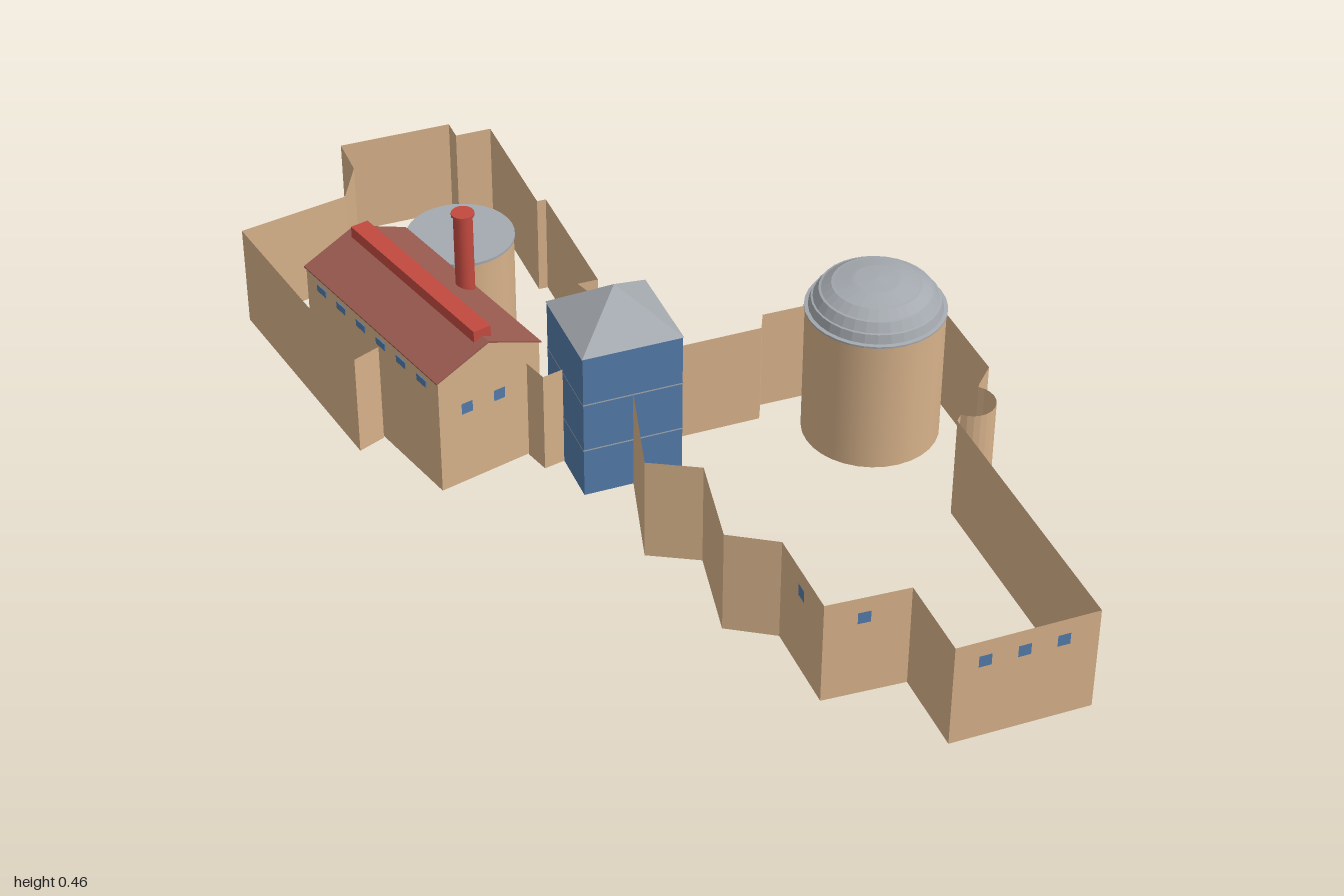
import * as THREE from 'three';

const mat = (name, color) => {
  const m = new THREE.MeshStandardMaterial({ color, side: THREE.DoubleSide });
  m.name = name;
  return m;
};

export function createModel() {
  const tan = mat('sandstone', 0xd7b28a);
  const blue = mat('blue glass', 0x547aa9);
  const grey = mat('grey roofing', 0xa5aab0);
  const roofRed = mat('brown red tiles', 0x995a50);
  const red = mat('bright red', 0xc24a3f);

  const model = new THREE.Group();
  const add = (name, geo, material, x = 0, y = 0, z = 0, parent = model) => {
    const m = new THREE.Mesh(geo, material);
    m.name = name;
    m.position.set(x, y, z);
    parent.add(m);
    return m;
  };
  const WALL = 0.23;

  // Thin upright wall along a plan path of [x, z] points
  const wall = (name, path) => {
    const pos = [];
    for (let i = 0; i < path.length - 1; i++) {
      const [ax, az] = path[i], [bx, bz] = path[i + 1];
      pos.push(ax, 0, az, bx, 0, bz, bx, WALL, bz, ax, 0, az, bx, WALL, bz, ax, WALL, az);
    }
    const g = new THREE.BufferGeometry();
    g.setAttribute('position', new THREE.Float32BufferAttribute(pos, 3));
    g.computeVertexNormals();
    add(name, g, tan);
  };

  // Row of flat window panes just outside the line a-b, at the given fractions
  const windows = (a, b, fractions) => {
    const dx = b[0] - a[0], dz = b[1] - a[1], len = Math.hypot(dx, dz), out = 0.002;
    for (const t of fractions) {
      const w = add('window', new THREE.PlaneGeometry(0.026, 0.026), blue,
        a[0] + dx * t - (dz / len) * out, 0.184, a[1] + dz * t + (dx / len) * out);
      w.rotation.y = -Math.atan2(dz, dx);
    }
  };

  // Front court: saw-toothed west side, straight front and east sides, round turret, dome corner
  const turret = [];
  for (let i = 0; i <= 12; i++) {
    const a = THREE.MathUtils.degToRad(140 - (188 * i) / 12);
    turret.push([0.55 + 0.05 * Math.cos(a), 0.346 + 0.05 * Math.sin(a)]);
  }
  wall('frontCourtWall', [
    [-0.06, 0.08], [-0.12, 0.3], [-0.02, 0.355], [-0.06, 0.556], [0.033, 0.615],
    [0.033, 0.81], [0.205, 0.82], [0.205, 1], [0.497, 1], [0.497, 0.394],
    ...turret, [0.59, 0.3], [0.632, 0.257], [0.632, -0.067], [0.28, -0.072], [0.26, -0.03], [0.045, -0.03],
  ]);

  // Rear court, from the tower round to the west side of the hall
  const towerEnd = [0.05, -0.05], bend = [-0.035, -0.311];
  wall('rearCourtWall', [
    towerEnd, bend, [0.01, -0.311], [0.01, -0.635], [-0.01, -0.635], [-0.01, -0.949],
    [-0.09, -0.949], [-0.09, -1], [-0.34, -1], [-0.34, -0.9], [-0.39, -0.8], [-0.632, -0.75],
    [-0.543, -0.22], [-0.485, -0.245],
  ]);
  // Short link between hall and tower
  wall('linkWall', [[-0.225, -0.085], [-0.21, -0.03], [-0.165, -0.04]]);

  windows([0.205, 1], [0.497, 1], [0.21, 0.48, 0.75]);
  windows([0.497, 1], [0.497, 0], [0.067, 0.15, 0.228, 0.306, 0.383, 0.461, 0.536]);
  windows([0.632, 1], [0.632, 0], [0.818, 0.906, 0.992]);
  windows([0.632, -0.067], [0.28, -0.072], [0.14, 0.38, 0.62, 0.86]);
  windows([0.033, 0.81], [0.205, 0.82], [0.46]);
  windows([0.033, 0.615], [0.033, 0.81], [0.5]);
  windows(towerEnd, bend, [0.13, 0.456, 0.743]);
  windows([0.01, 0], [0.01, -1], [0.367, 0.437, 0.512, 0.582]);
  windows([-0.01, 0], [-0.01, -1], [0.705, 0.79, 0.877]);
  windows([-0.09, -1], [-0.34, -1], [0.35, 0.68]);
  windows([-0.427, -0.033], [-0.195, -0.094], [0.27, 0.59]);

  // Blue tower with floor bands and a pyramid roof
  const tower = new THREE.Group();
  tower.name = 'tower';
  tower.position.set(-0.06, 0, -0.025);
  model.add(tower);
  const square = (r, h) => new THREE.CylinderGeometry(r * Math.SQRT2, r * Math.SQRT2, h, 4, 1, true)
    .rotateY(Math.PI / 4).toNonIndexed();
  const flat = (g) => { g.computeVertexNormals(); return g; };
  add('towerWalls', flat(square(0.105, 0.336)), blue, 0, 0.168, 0, tower);
  for (const y of [0.112, 0.224]) add('floorBand', flat(square(0.106, 0.003)), grey, 0, y, 0, tower);
  const pyramid = new THREE.ConeGeometry(0.107 * Math.SQRT2, 0.085, 4).rotateY(Math.PI / 4).toNonIndexed();
  add('towerRoof', flat(pyramid), grey, 0, 0.3785, 0, tower);

  // Domed drum
  add('domeDrum', new THREE.CylinderGeometry(0.143, 0.143, 0.3, 32, 1, true), tan, 0.465, 0.15, 0.072);
  const rings = [[0.145, 0.298], [0.145, 0.302], [0.137, 0.303], [0.132, 0.322], [0.128, 0.323],
    [0.117, 0.342], [0.112, 0.343], [0.092, 0.357], [0.086, 0.358], [0.052, 0.366], [0.046, 0.367], [0, 0.37]];
  const dome = new THREE.LatheGeometry(rings.map(([r, y]) => new THREE.Vector2(r, y)), 32).toNonIndexed();
  add('steppedDome', flat(dome), grey, 0.465, 0, 0.072);

  // Flat-topped round store
  add('storeDrum', new THREE.CylinderGeometry(0.113, 0.113, 0.256, 32, 1, true), tan, -0.217, 0.128, -0.53);
  add('storeRoof', new THREE.CylinderGeometry(0.115, 0.115, 0.006, 32), grey, -0.217, 0.258, -0.53);

  // Gabled hall, turned to its own axis and reaching the ground
  const hall = new THREE.Group();
  hall.name = 'gabledHall';
  hall.position.set(-0.375, 0, -0.305);
  hall.rotation.y = 0.259;
  model.add(hall);
  const prism = (pts, len) => new THREE.ExtrudeGeometry(
    new THREE.Shape(pts.map(([x, y]) => new THREE.Vector2(x, y))), { depth: len, bevelEnabled: false },
  ).translate(0, 0, -len / 2);
  const hw = 0.12;
  add('hallBody', prism([[-hw, 0.002], [hw, 0.002], [hw, 0.268], [0, 0.318], [-hw, 0.268]], 0.5), tan, 0, 0, 0, hall);
  add('hallRoof', prism([[-0.124, 0.268], [0, 0.319], [0.124, 0.268], [0.124, 0.271], [0, 0.323], [-0.124, 0.271]],
    0.505), roofRed, 0, 0, 0, hall);
  add('ridgeMonitor', new THREE.BoxGeometry(0.04, 0.03, 0.46), red, 0, 0.325, 0, hall);
  for (let i = 0; i < 6; i++) {
    add('hallWindow', new THREE.BoxGeometry(0.004, 0.016, 0.034), blue, -hw, 0.242, -0.19 + i * 0.076, hall);
  }

  // Chimney with cap
  add('chimney', new THREE.CylinderGeometry(0.02, 0.02, 0.455, 16), red, -0.275, 0.2275, -0.317);
  add('chimneyCap', new THREE.CylinderGeometry(0.024, 0.024, 0.006, 16), red, -0.275, 0.457, -0.317);

  return model;
}
